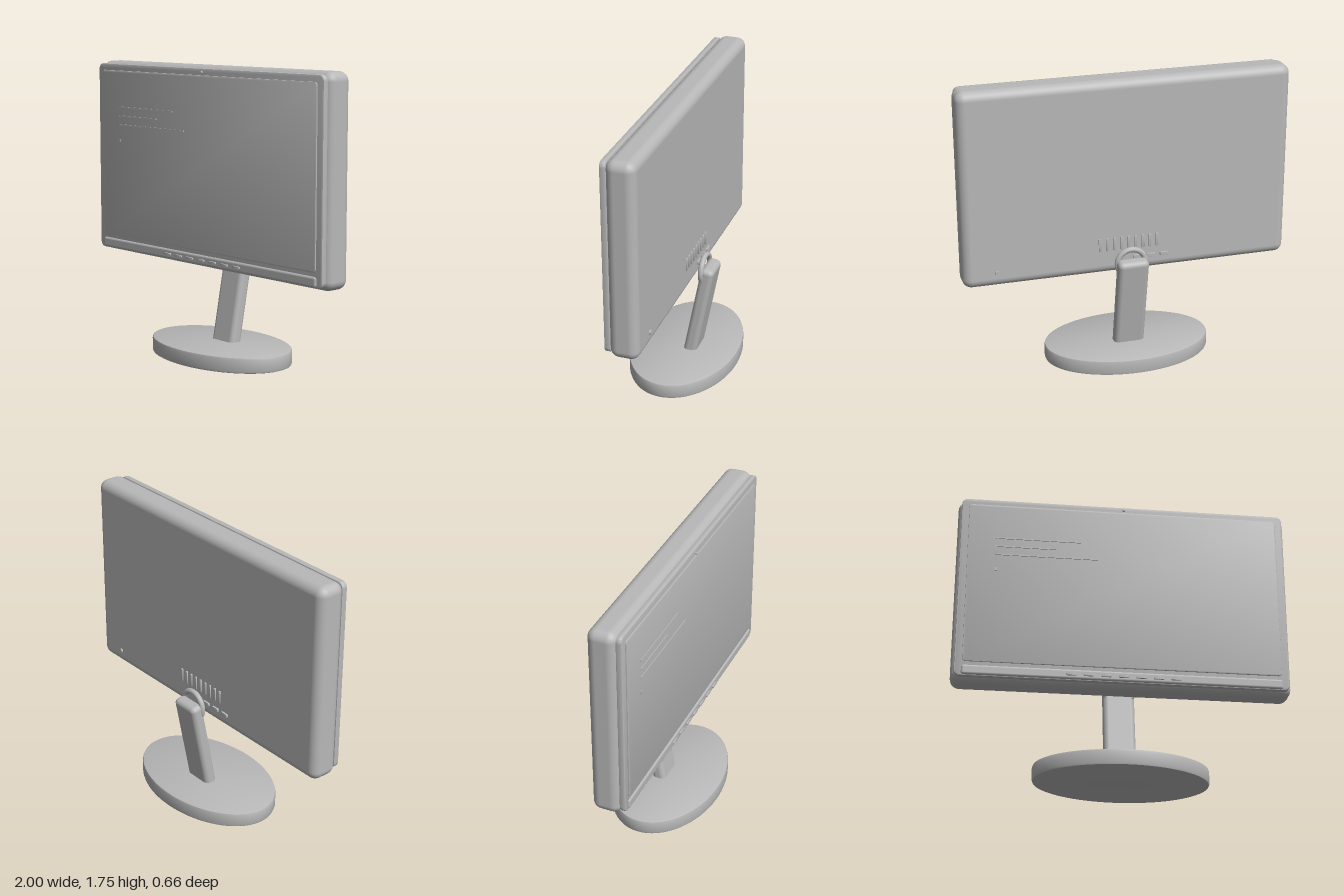
import * as THREE from 'three';
import { toCreasedNormals } from 'three/addons/utils/BufferGeometryUtils.js';
import { RoundedBoxGeometry } from 'three/addons/geometries/RoundedBoxGeometry.js';

// Rounded rectangle outline centred on the origin
function roundedRect(w, h, r) {
  const s = new THREE.Shape();
  const x = w / 2, y = h / 2;
  s.absarc(x - r, y - r, r, 0, Math.PI / 2);
  s.absarc(-x + r, y - r, r, Math.PI / 2, Math.PI);
  s.absarc(-x + r, -y + r, r, Math.PI, Math.PI * 1.5);
  s.absarc(x - r, -y + r, r, Math.PI * 1.5, Math.PI * 2);
  return s;
}

// Rounded plate of full size w x h x d with a small bevel, centred on the origin
function plate(w, h, d, r, b) {
  const g = new THREE.ExtrudeGeometry(roundedRect(w - 2 * b, h - 2 * b, r - b), {
    depth: d - 2 * b, bevelEnabled: b > 0, bevelThickness: b, bevelSize: b, bevelSegments: 2, curveSegments: 6,
  });
  g.translate(0, 0, -d / 2 + b);
  return toCreasedNormals(g, 0.6);
}

export function createModel() {
  const model = new THREE.Group();
  model.name = 'desktopMonitor';
  const grey = new THREE.MeshStandardMaterial({ color: 0xb8b8b8 });
  grey.name = 'plain grey';

  const add = (name, geometry, x, y, z) => {
    const m = new THREE.Mesh(geometry, grey);
    m.name = name;
    m.position.set(x, y, z);
    model.add(m);
    return m;
  };

  // Display housing
  add('shell', new RoundedBoxGeometry(2, 1.2, 0.173, 5, 0.055), 0, 1.15, 0.0325);
  add('bezel', plate(1.96, 1.165, 0.035, 0.035, 0.006), 0, 1.153, 0.131);
  add('screen', plate(1.87, 1.037, 0.014, 0.02, 0.003), 0, 1.177, 0.149);
  add('lowerBar', new RoundedBoxGeometry(1.88, 0.062, 0.04, 3, 0.015), 0, 0.606, 0.138);

  // Camera dot above the screen
  const dot = new THREE.CylinderGeometry(0.007, 0.007, 0.02, 16).rotateX(Math.PI / 2);
  add('camera', dot, 0, 1.713, 0.151);

  // Thin raised lines on the screen: left end, right end, height, thickness
  [
    [-0.77, -0.26, 1.47, 0.008],
    [-0.77, -0.41, 1.415, 0.008],
    [-0.77, -0.155, 1.36, 0.008],
    [-0.77, -0.755, 1.262, 0.02],
  ].forEach(([x0, x1, y, h]) => {
    add('screenLine', new THREE.BoxGeometry(x1 - x0, h, 0.008), (x0 + x1) / 2, y, 0.157);
  });

  // Row of front buttons
  const button = plate(0.06, 0.016, 0.02, 0.007, 0.002);
  for (let i = -3; i <= 3; i++) add('frontButton', button, i * 0.102, 0.604, 0.157);

  // Rear vents, ports and power knob
  const vent = plate(0.016, 0.085, 0.02, 0.007, 0.002);
  for (let i = -4; i <= 4; i++) add('vent', vent, i * 0.044, 0.74, -0.053);
  const port = plate(0.055, 0.024, 0.02, 0.008, 0.002);
  for (let i = 0; i < 3; i++) add('port', port, -0.055 - i * 0.084, 0.643, -0.055);
  const knob = new THREE.CylinderGeometry(0.014, 0.014, 0.03, 20).rotateX(Math.PI / 2);
  add('powerKnob', toCreasedNormals(knob, 0.6), 0.8, 0.64, -0.05);

  // Leaning stand arm
  const arm = add('standArm', new RoundedBoxGeometry(0.188, 0.62, 0.082, 5, 0.03), 0, 0.36, -0.096);
  arm.rotation.x = -0.19;

  // Hinge arch over the top of the arm
  const start = -0.6, sweep = Math.PI + 1.2;
  const arch = new THREE.TorusGeometry(0.086, 0.017, 12, 36, sweep).rotateZ(start);
  add('hingeArch', arch, 0, 0.632, -0.114);
  for (const a of [start, start + sweep]) {
    add('archEnd', new THREE.SphereGeometry(0.017, 12, 8), Math.cos(a) * 0.086, 0.632 + Math.sin(a) * 0.086, -0.114);
  }

  // Oval base with softened rims
  const profile = [[0, 0], [0.495, 0], [0.506, 0.004], [0.51, 0.014], [0.51, 0.081], [0.506, 0.091], [0.495, 0.095], [0, 0.095]]
    .map(([x, y]) => new THREE.Vector2(x, y));
  const base = new THREE.LatheGeometry(profile, 72).scale(1, 1, 0.645);
  add('base', toCreasedNormals(base, 0.7), 0, 0, 0);

  return model;
}
